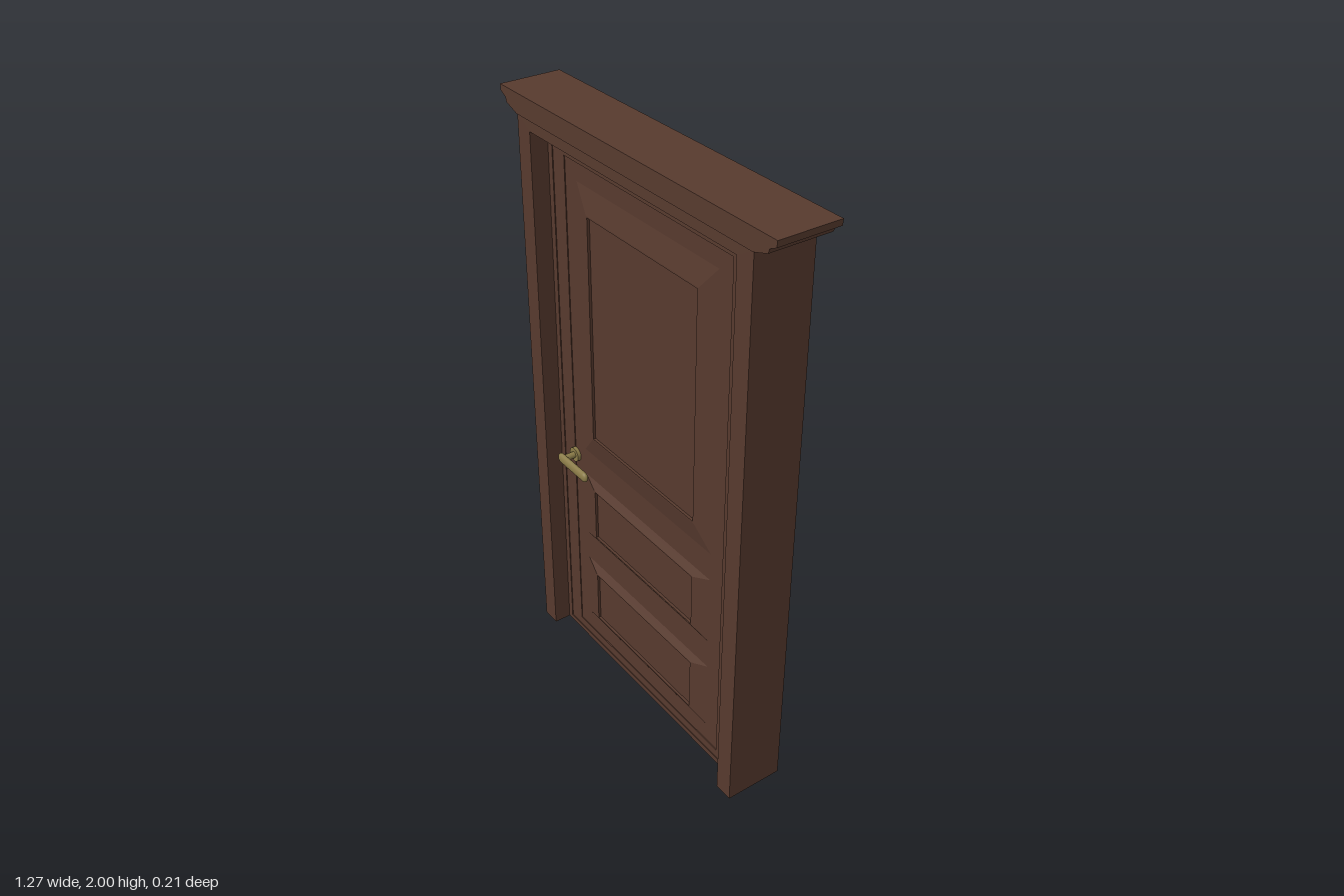
import * as THREE from 'three';

const wood = new THREE.MeshStandardMaterial({ color: 0x573a2e, flatShading: true });
const brass = new THREE.MeshStandardMaterial({ color: 0x8a7b48 });

function add(parent, name, geometry, material, x = 0, y = 0, z = 0) {
  const mesh = new THREE.Mesh(geometry, material);
  mesh.name = name;
  mesh.position.set(x, y, z);
  parent.add(mesh);
  return mesh;
}

// Stacked rectangles [halfWidth, bottom, top, z] joined by strips; the last is capped
function steppedRects(rects) {
  const pos = [];
  const loops = rects.map(([w, b, t, z]) => [[-w, b, z], [w, b, z], [w, t, z], [-w, t, z]]);
  const quad = (a, b, c, d) => pos.push(...a, ...b, ...c, ...a, ...c, ...d);
  for (let k = 0; k + 1 < loops.length; k++) {
    for (let i = 0; i < 4; i++) {
      const j = (i + 1) % 4;
      quad(loops[k][i], loops[k][j], loops[k + 1][j], loops[k + 1][i]);
    }
  }
  quad(...loops[loops.length - 1]);
  const geometry = new THREE.BufferGeometry();
  geometry.setAttribute('position', new THREE.Float32BufferAttribute(pos, 3));
  geometry.computeVertexNormals();
  return geometry;
}

// Front outline pushed through the depth, centred on z
function extrudeOutline(points, depth) {
  const shape = new THREE.Shape(points.map(([x, y]) => new THREE.Vector2(x, y)));
  return new THREE.ExtrudeGeometry(shape, { depth, bevelEnabled: false }).translate(0, 0, -depth / 2);
}

export function createModel() {
  const model = new THREE.Group();
  model.name = 'door';

  // Surround: two jambs and a header in one outline
  add(model, 'frame', extrudeOutline([
    [-0.55, 0], [-0.485, 0], [-0.485, 1.9], [0.485, 1.9], [0.485, 0], [0.55, 0], [0.55, 1.94], [-0.55, 1.94],
  ], 0.2), wood);

  // Crown moulding, stepping out at both ends
  const side = [[0.55, 1.935], [0.605, 1.953], [0.61, 1.968], [0.635, 1.98], [0.637, 2]];
  add(model, 'crown', extrudeOutline(
    [...side, ...side.map(([x, y]) => [-x, y]).reverse()], 0.206), wood);

  // Leaf: the same face on both sides, with a narrow gap at the hinges
  const leaf = new THREE.Group();
  leaf.name = 'leaf';
  leaf.position.x = -0.0035;
  model.add(leaf);
  const face = steppedRects([
    [0.4815, 0, 1.9, 0], [0.4815, 0, 1.9, 0.04],
    [0.46, 0.02, 1.88, 0.04], [0.46, 0.02, 1.88, 0.037],
    [0.4, 0.05, 1.84, 0.037], [0.4, 0.05, 1.84, 0.034],
  ]);
  // Raised panels: [bottom, top, bevel height]
  const panels = [[0.12, 0.373, 0.025], [0.48, 0.73, 0.025], [0.83, 1.78, 0.08]];

  for (const s of [1, -1]) {
    const half = new THREE.Group();
    half.name = s > 0 ? 'frontFace' : 'backFace';
    half.rotation.y = s > 0 ? 0 : Math.PI;
    leaf.add(half);
    add(half, 'leafFace', face, wood);
    for (const [b, t, v] of panels) {
      add(half, 'panel', steppedRects([
        [0.34, b, t, 0.034], [0.272, b + v, t - v, 0.049],
        [0.267, b + v + 0.005, t - v - 0.005, 0.049],
        [0.267, b + v + 0.005, t - v - 0.005, 0.04],
      ]), wood);
    }

    // Lever handle on a round rosette
    const handle = new THREE.Group();
    handle.name = s > 0 ? 'frontHandle' : 'backHandle';
    handle.position.set(-0.395, 0.783, 0);
    model.add(handle);
    const disc = new THREE.CylinderGeometry(0.025, 0.025, 0.012, 24).rotateX(Math.PI / 2);
    add(handle, 'rosette', disc, brass, 0, 0, s * 0.042);
    const stem = new THREE.CylinderGeometry(0.011, 0.011, 0.06, 16).rotateX(Math.PI / 2);
    add(handle, 'spindle', stem, brass, 0, 0, s * 0.064);
    const grip = new THREE.CapsuleGeometry(0.018, 0.132, 8, 20).rotateZ(Math.PI / 2).scale(1, 1, 0.6);
    add(handle, 'lever', grip, brass, 0.06, 0, s * 0.091);
  }
  return model;
}
